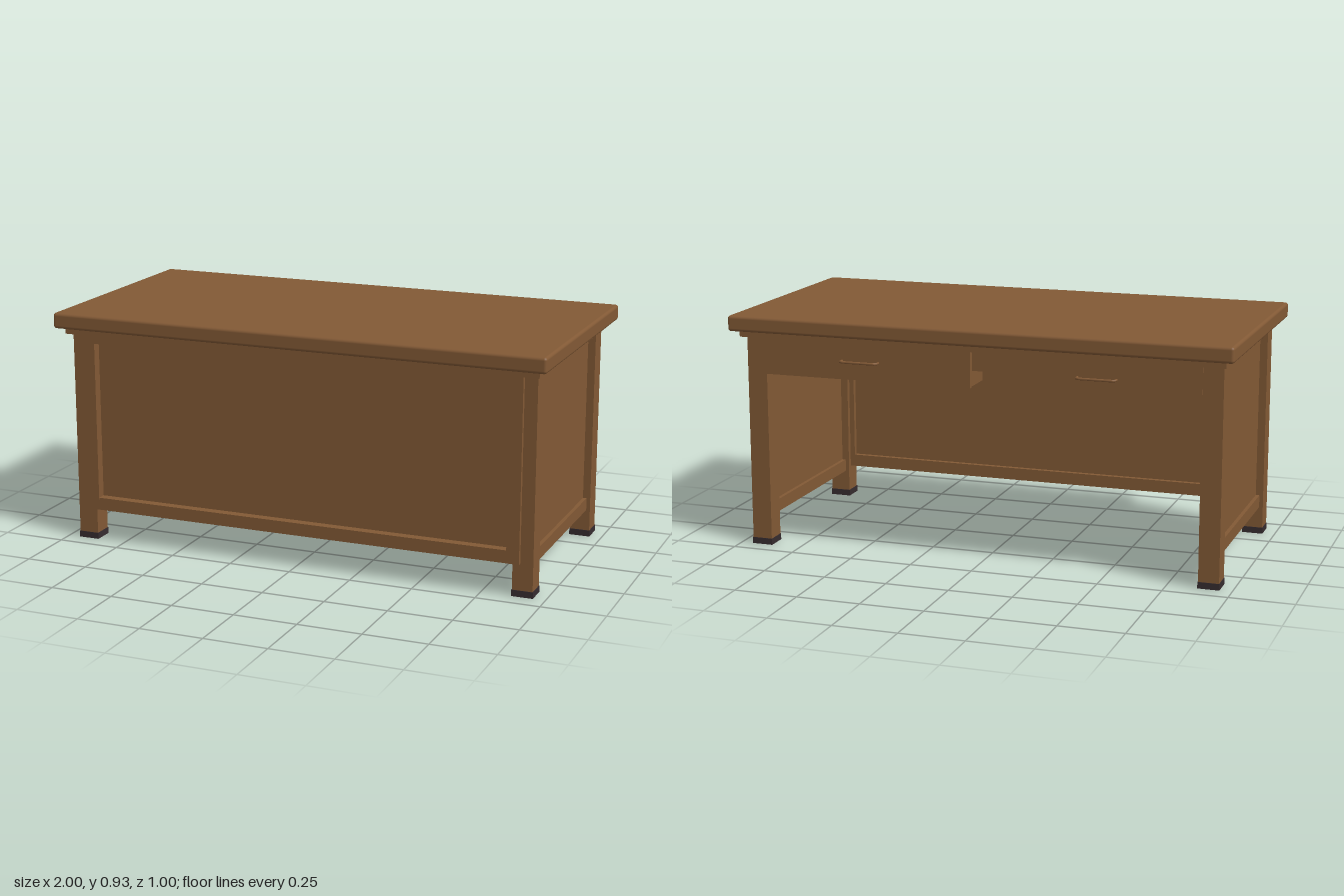
import * as THREE from 'three';
import { RoundedBoxGeometry } from 'three/addons/geometries/RoundedBoxGeometry.js';

export function createModel() {
  const desk = new THREE.Group();
  desk.name = 'desk';
  const wood = new THREE.MeshStandardMaterial({ color: 0x825935 });
  wood.name = 'brown wood';
  const rubber = new THREE.MeshStandardMaterial({ color: 0x362c2f });
  rubber.name = 'dark foot cap';

  const add = (name, geometry, material = wood) => {
    const mesh = new THREE.Mesh(geometry, material);
    mesh.name = name;
    desk.add(mesh);
    return mesh;
  };
  // Box given by its limits on each axis
  const box = (name, [x0, x1], [y0, y1], [z0, z1], material) => {
    const mesh = add(name, new THREE.BoxGeometry(x1 - x0, y1 - y0, z1 - z0), material);
    mesh.position.set((x0 + x1) / 2, (y0 + y1) / 2, (z0 + z1) / 2);
    return mesh;
  };
  const mirrored = (side, a, b) => (side > 0 ? [a, b] : [-b, -a]);

  // Table top with softened edges, and the moulding below it
  add('tableTop', new RoundedBoxGeometry(2, 0.062, 1, 3, 0.012)).position.y = 0.901;
  box('topMoulding', [-0.965, 0.965], [0.845, 0.87], [-0.465, 0.465]);

  // Framed front panel
  box('frontPanel', [-0.87, 0.87], [0.15, 0.845], [0.39, 0.41]);
  box('frontTopRail', [-0.85, 0.85], [0.81, 0.845], [0.37, 0.446]);
  box('frontBottomRail', [-0.85, 0.85], [0.13, 0.18], [0.37, 0.446]);

  // U-shaped drawer pull
  const pull = new THREE.CurvePath();
  const pullPoints = [[-0.075, 0.025], [-0.075, 0.006], [-0.067, 0], [0.067, 0], [0.075, 0.006], [0.075, 0.025]]
    .map(([x, z]) => new THREE.Vector3(x, 0, z));
  for (let i = 1; i < pullPoints.length; i++) {
    pull.add(new THREE.LineCurve3(pullPoints[i - 1], pullPoints[i]));
  }
  const pullGeometry = new THREE.TubeGeometry(pull, 40, 0.005, 8);

  for (const side of [1, -1]) {
    const label = side > 0 ? 'left' : 'right';

    // Legs and foot caps
    for (const end of [1, -1]) {
      const name = label + (end > 0 ? 'Front' : 'Back');
      box(name + 'Leg', mirrored(side, 0.87, 0.95), [0.02, 0.845], mirrored(end, 0.35, 0.43));
      box(name + 'Foot', mirrored(side, 0.868, 0.952), [0, 0.025], mirrored(end, 0.348, 0.432), rubber);
    }

    // Front stile, side panel and its bottom rail
    box(label + 'FrontStile', mirrored(side, 0.85, 0.9), [0.13, 0.845], [0.37, 0.447]);
    box(label + 'SidePanel', mirrored(side, 0.9, 0.92), [0.13, 0.845], [-0.355, 0.355]);
    box(label + 'SideRail', mirrored(side, 0.885, 0.935), [0.11, 0.16], [-0.355, 0.355]);

    // Drawer box, drawer front and pull
    box(label + 'Drawer', mirrored(side, 0.027, 0.899), [0.7, 0.835], [-0.42, 0.25]);
    box(label + 'DrawerFront', mirrored(side, 0.025, 0.872), [0.697, 0.838], [-0.432, -0.415]);
    add(label + 'DrawerPull', pullGeometry).position.set(side * 0.473, 0.77, -0.459);
  }

  // Recessed divider between the drawers and slim rail above them
  box('drawerDivider', [-0.03, 0.03], [0.76, 0.845], [-0.405, 0.25]);
  box('drawerTopRail', [-0.87, 0.87], [0.836, 0.846], [-0.428, 0.25]);

  return desk;
}
